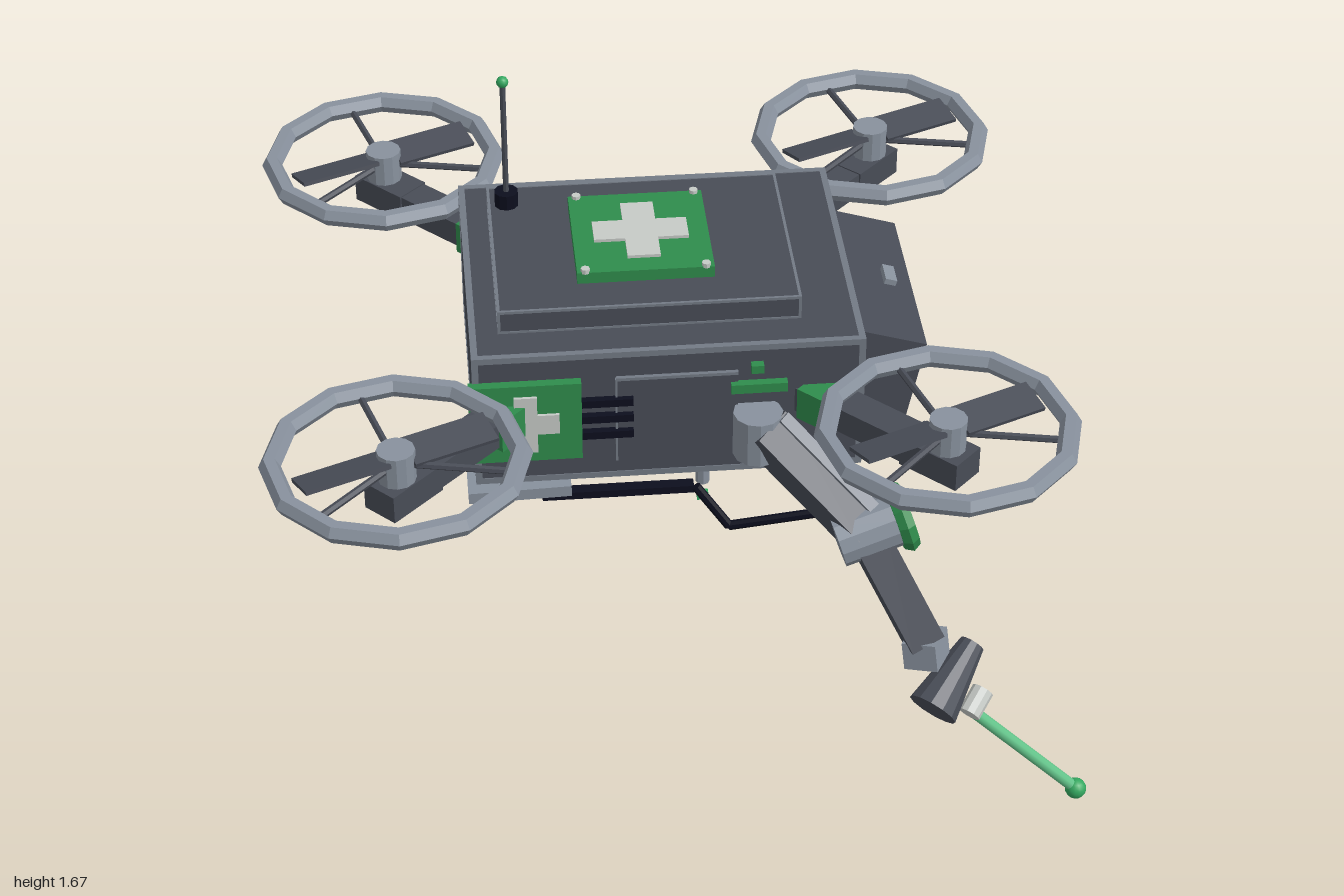
import * as THREE from 'three';

const mat = (name, color, opts = {}) => {
  const m = new THREE.MeshStandardMaterial({ color, ...opts });
  m.name = name;
  return m;
};

export function createModel() {
  const root = new THREE.Group();
  root.name = 'medicalDrone';
  const flat = { flatShading: true };
  const M = {
    hull: mat('hullGrey', 0x484c56, flat),
    trim: mat('trimGrey', 0x737a85, flat),
    steel: mat('steelGrey', 0x88919d, flat),
    green: mat('rescueGreen', 0x2f8c4c, flat),
    white: mat('crossWhite', 0xc6cac6, flat),
    dark: mat('darkNavy', 0x0c0e1d, flat),
    probe: mat('probeGreen', 0x63c48a),
    tip: mat('tipGreen', 0x34a860),
  };
  const V = (x, y, z) => new THREE.Vector3(x, y, z);

  const add = (name, geo, m, p = [0, 0, 0], parent = root) => {
    const mesh = new THREE.Mesh(geo, m);
    mesh.name = name;
    mesh.position.set(...p);
    parent.add(mesh);
    return mesh;
  };
  const box = (name, s, p, m, parent) => add(name, new THREE.BoxGeometry(...s), m, p, parent);
  const cyl = (name, r0, r1, h, p, m, n = 12, parent = root) =>
    add(name, new THREE.CylinderGeometry(r0, r1, h, n), m, p, parent);
  // Turns a mesh so that its local y runs from a to b
  const span = (mesh, a, b) => {
    mesh.position.copy(a).add(b).multiplyScalar(0.5);
    mesh.quaternion.setFromUnitVectors(V(0, 1, 0), b.clone().sub(a).normalize());
    return mesh;
  };
  const rod = (name, a, b, rBottom, rTop, m, n = 10, parent = root) =>
    span(cyl(name, rTop, rBottom, a.distanceTo(b), [0, 0, 0], m, n, parent), a, b);
  // Square beam with local y along the line and one side kept towards the front
  const beam = (name, a, b, w, d, m, parent = root) => {
    const mesh = box(name, [w, a.distanceTo(b), d], [0, 0, 0], m, parent);
    return span(mesh, a, b);
  };
  // Box with slim lighter strips on all twelve edges
  const trimmedBox = (name, s, p, t) => {
    const g = new THREE.Group();
    g.name = name;
    g.position.set(...p);
    root.add(g);
    box(name + 'Shell', s, [0, 0, 0], M.hull, g);
    for (let axis = 0; axis < 3; axis++) {
      for (const i of [-1, 1]) for (const j of [-1, 1]) {
        const size = [t, t, t], pos = [0, 0, 0];
        const b = (axis + 1) % 3, c = (axis + 2) % 3;
        size[axis] = s[axis] + 0.004;
        pos[b] = i * (s[b] / 2 + 0.002 - t / 2);
        pos[c] = j * (s[c] / 2 + 0.002 - t / 2);
        box('edgeTrim', size, pos, M.trim, g);
      }
    }
    return g;
  };
  const cross = (name, size, w, p, parent) => {
    const a = size / 2, b = w / 2;
    const pts = [[-b, -a], [b, -a], [b, -b], [a, -b], [a, b], [b, b],
      [b, a], [-b, a], [-b, b], [-a, b], [-a, -b], [-b, -b]];
    const shape = new THREE.Shape(pts.map(([x, y]) => new THREE.Vector2(x, y)));
    return add(name, new THREE.ExtrudeGeometry(shape, { depth: 0.008, bevelEnabled: false }), M.white, p, parent);
  };

  // Hull, lid and sloped nose
  trimmedBox('hull', [0.93, 0.365, 0.75], [-0.033, 1.07, -0.003], 0.016);
  trimmedBox('lid', [0.72, 0.06, 0.54], [-0.07, 1.283, 0], 0.007);
  const nose = new THREE.Shape([[0.42, 0.89], [0.55, 0.9], [0.6, 1.15], [0.42, 1.205]].map(p => new THREE.Vector2(...p)));
  add('nose', new THREE.ExtrudeGeometry(nose, { depth: 0.53, bevelEnabled: false }), M.hull, [0, 0, -0.265]);
  box('noseLatch', [0.03, 0.015, 0.065], [0.545, 1.175, 0], M.steel).rotation.z = -0.3;

  // Medical panel on the lid
  box('topPanel', [0.33, 0.03, 0.335], [-0.07, 1.328, 0], M.green);
  cross('topCross', 0.23, 0.08, [-0.07, 1.343, 0]).rotation.x = -Math.PI / 2;
  for (const x of [-1, 1]) for (const z of [-1, 1])
    cyl('panelBolt', 0.011, 0.011, 0.012, [-0.07 + x * 0.145, 1.346, z * 0.16], M.white, 8);

  // Medical panel and hatch on the front side
  box('sidePanel', [0.267, 0.22, 0.025], [-0.377, 1.075, 0.383], M.green);
  cross('sideCross', 0.16, 0.055, [-0.377, 1.075, 0.395]);
  box('sideHatch', [0.29, 0.24, 0.006], [-0.015, 1.06, 0.374], M.hull);
  box('hatchTopEdge', [0.29, 0.008, 0.012], [-0.015, 1.18, 0.376], M.trim);
  box('hatchSideEdge', [0.005, 0.24, 0.01], [-0.16, 1.06, 0.376], M.trim);

  // Vents and green latches on both long sides
  for (const s of [-1, 1]) {
    for (const y of [1.025, 1.072, 1.118])
      box('vent', [0.18, 0.02, 0.018], [-0.21, y, s * 0.382], M.dark);
    box('sideLatch', [0.135, 0.025, 0.022], [0.18, 1.14, s * 0.382], M.green);
    box('latchButton', [0.03, 0.022, 0.022], [0.175, 1.195, s * 0.382], M.green);
  }

  // Underside plate, sensors and cable
  box('bellyPlate', [0.72, 0.055, 0.53], [-0.04, 0.862, 0], M.dark);
  box('sensorTray', [0.25, 0.03, 0.15], [-0.395, 0.842, 0.295], M.steel).rotation.z = 0.03;
  box('bellyRail', [0.37, 0.02, 0.03], [-0.155, 0.81, 0.33], M.dark);
  for (const z of [-0.293, 0.3]) {
    cyl('lampMount', 0.017, 0.017, 0.06, [0.055, 0.83, z], M.steel, 8);
    box('lampCap', [0.035, 0.035, 0.035], [0.055, 0.87, z], M.steel);
    box('lamp', [0.028, 0.016, 0.022], [0.055, 0.757, z], M.tip);
  }
  const cable = [V(0.03, 0.85, 0.385), V(0.11, 0.735, 0.4), V(0.33, 0.8, 0.45)];
  for (let i = 0; i < 2; i++) rod('cable', cable[i], cable[i + 1], 0.012, 0.012, M.dark, 8);

  // Four rotors on diagonal booms
  for (const sx of [-1, 1]) for (const sz of [-1, 1]) {
    const g = new THREE.Group();
    g.name = 'rotor';
    g.position.set(-0.0475 + sx * 0.6375, 0, -0.005 + sz * 0.64);
    root.add(g);
    const along = (d, y) => V(-sx * d * Math.SQRT1_2, y, -sz * d * Math.SQRT1_2);
    const diagonal = (name, from, to, h, w, m) => {
      const mesh = box(name, [to - from, h, w], [0, 0, 0], m, g);
      mesh.position.copy(along((from + to) / 2, 1.087));
      mesh.rotation.y = Math.atan2(sz, -sx);
    };
    diagonal('boom', -0.06, 0.42, 0.066, 0.085, M.hull);
    diagonal('motorPod', -0.062, 0.1, 0.072, 0.094, M.hull);
    diagonal('boomClamp', 0.3, 0.4, 0.085, 0.105, M.green);
    const ring = add('guardRing', new THREE.TorusGeometry(0.288, 0.026, 6, 12), M.steel, [0, 1.175, 0], g);
    ring.rotation.x = Math.PI / 2;
    cyl('hub', 0.045, 0.045, 0.09, [0, 1.16, 0], M.steel, 12, g);
    for (const deg of [-107, 13, 133]) {
      const a = deg * Math.PI / 180;
      rod('guardStrut', V(0, 1.165, 0), V(Math.cos(a) * 0.275, 1.17, Math.sin(a) * 0.275), 0.009, 0.009, M.hull, 6, g);
    }
    const blades = new THREE.Group();
    blades.name = 'blades';
    blades.position.y = 1.185;
    blades.rotation.y = 0.4;
    g.add(blades);
    for (const s of [-1, 1])
      box('blade', [0.21, 0.01, 0.088], [s * 0.135, 0, 0], M.hull, blades).rotation.x = s * 0.22;
  }

  // Antenna
  cyl('antennaBase', 0.03, 0.03, 0.04, [-0.385, 1.332, -0.195], M.dark, 10);
  cyl('antennaRod', 0.007, 0.007, 0.32, [-0.385, 1.505, -0.195], M.hull, 8);
  add('antennaTip', new THREE.SphereGeometry(0.015, 10, 8), M.tip, [-0.385, 1.663, -0.195]);

  // Jointed arm reaching forward and down
  const shoulder = V(0.19, 1.04, 0.42), elbow = V(0.42, 0.815, 0.545), wrist = V(0.56, 0.55, 0.66);
  cyl('shoulderMount', 0.06, 0.06, 0.12, [0.175, 1.025, 0.41], M.steel, 12);
  beam('upperArm', shoulder, elbow, 0.1, 0.1, M.hull);
  beam('upperArmStrip', shoulder.clone().add(V(0.04, 0.04, 0.012)), elbow.clone().add(V(0.04, 0.04, 0.012)), 0.03, 0.03, M.trim);
  beam('forearm', elbow, wrist, 0.088, 0.088, M.hull);
  beam('wristBlock', V(0.56, 0.565, 0.655), V(0.568, 0.495, 0.668), 0.095, 0.085, M.steel);
  const axis = V(0.93, 0.27, -0.12).normalize();
  const at = d => elbow.clone().addScaledVector(axis, d);
  rod('elbowJoint', at(-0.07), at(0.075), 0.068, 0.068, M.steel, 12);
  const elbowRing = add('elbowRing', new THREE.TorusGeometry(0.067, 0.023, 6, 12), M.green);
  elbowRing.position.copy(at(0.095));
  elbowRing.quaternion.setFromUnitVectors(V(0, 0, 1), axis);
  rod('elbowCap', at(0.07), at(0.1), 0.046, 0.046, M.steel, 12);

  // Tool head, collar and probe
  rod('toolCone', V(0.578, 0.385, 0.725), V(0.69, 0.485, 0.605), 0.064, 0.032, M.hull, 12);
  rod('toolCollar', V(0.677, 0.33, 0.69), V(0.717, 0.367, 0.645), 0.028, 0.028, M.white, 10);
  rod('probe', V(0.7, 0.305, 0.662), V(0.97, 0.03, 0.662), 0.015, 0.015, M.probe, 10);
  add('probeTip', new THREE.SphereGeometry(0.027, 14, 10), M.tip, [0.97, 0.03, 0.662]);

  return root;
}
